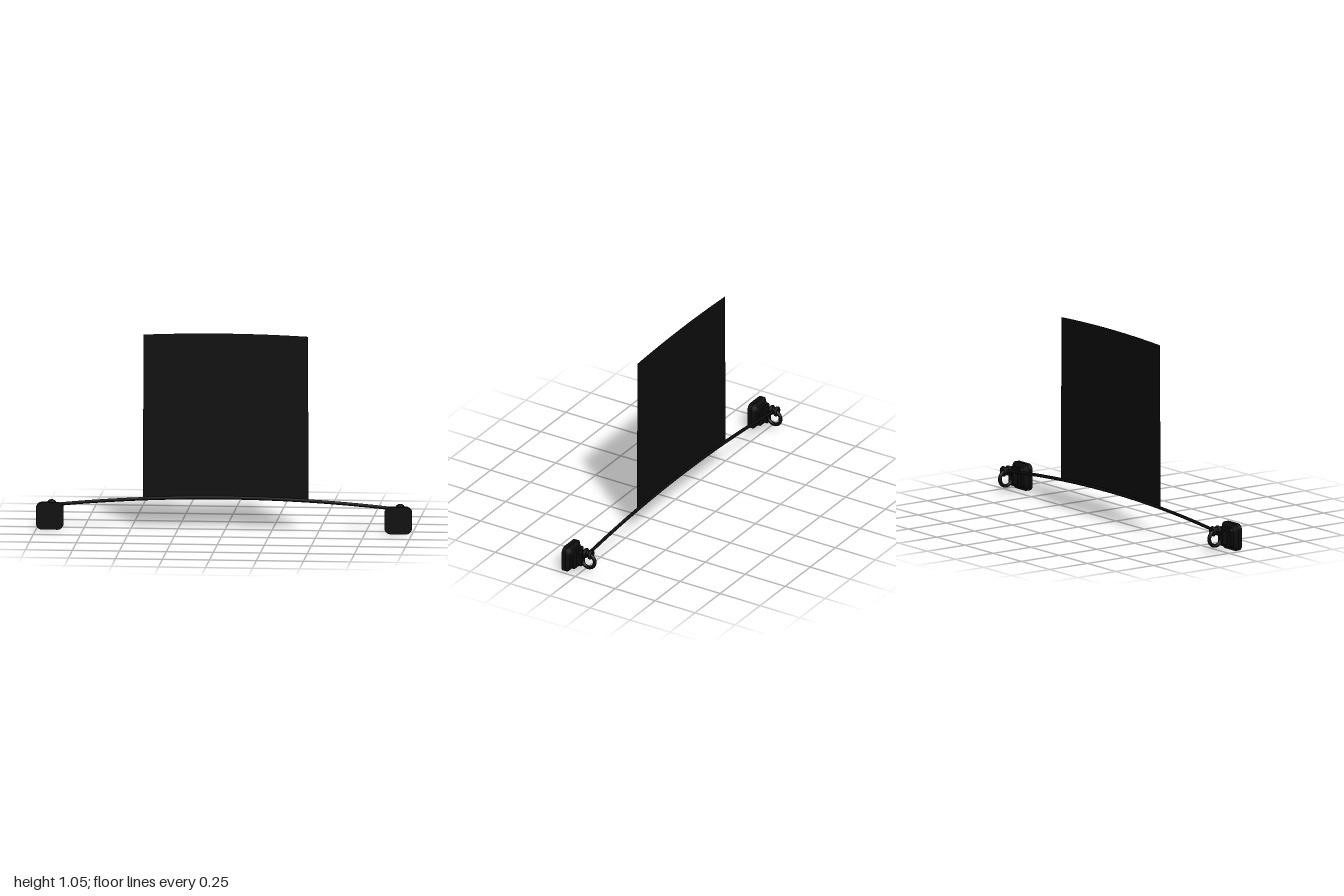
import * as THREE from 'three';

const black = new THREE.MeshStandardMaterial({ color: 0x0c0c0c });
black.name = 'black';
const blackSheet = new THREE.MeshStandardMaterial({ color: 0x0c0c0c, side: THREE.DoubleSide });
blackSheet.name = 'black sheet';

const ROPE_Z = -0.036, ANCHOR_X = 0.927, ANCHOR_Y = 0.075;
const ropeY = (x) => 0.166 - 0.05 * (x / 0.927) ** 2;

function add(parent, name, geometry, x = 0, y = 0, z = 0, material = black) {
  const mesh = new THREE.Mesh(geometry, material);
  mesh.name = name;
  mesh.position.set(x, y, z);
  parent.add(mesh);
  return mesh;
}

// Rounded square block from z = 0 to z = depth, its back scaled by taper
function block(size, radius, depth, taper = 1) {
  const h = size / 2, c = h - radius, s = new THREE.Shape();
  s.absarc(c, c, radius, 0, Math.PI / 2);
  s.absarc(-c, c, radius, Math.PI / 2, Math.PI);
  s.absarc(-c, -c, radius, Math.PI, Math.PI * 1.5);
  s.absarc(c, -c, radius, Math.PI * 1.5, Math.PI * 2);
  const g = new THREE.ExtrudeGeometry(s, { depth, bevelEnabled: false, curveSegments: 6 });
  const p = g.attributes.position;
  for (let i = 0; i < p.count; i++) {
    if (p.getZ(i) < depth / 2) p.setXY(i, p.getX(i) * taper, p.getY(i) * taper);
  }
  g.computeVertexNormals();
  return g;
}

function anchor(side) {
  const g = new THREE.Group();
  g.name = side > 0 ? 'leftAnchor' : 'rightAnchor';
  g.position.set(side * ANCHOR_X, ANCHOR_Y, 0);
  // Mounting foot, stepped towards the back
  add(g, 'footPlate', block(0.146, 0.032, 0.024), 0, 0, 0.062);
  add(g, 'footBevel', block(0.146, 0.032, 0.018, 0.74), 0, 0, 0.044);
  add(g, 'footStep', block(0.106, 0.022, 0.017), 0, 0, 0.027);
  add(g, 'neck', new THREE.BoxGeometry(0.038, 0.073, 0.032), 0, 0, 0.012);
  // Eye ring in the yz plane
  const ring = add(g, 'ring', new THREE.TorusGeometry(0.04, 0.01, 10, 32), 0, 0, ROPE_Z);
  ring.rotation.y = Math.PI / 2;
  // Rope turns tied round the top of the ring
  for (const dz of [-0.016, 0.016]) {
    add(g, 'knotTurn', new THREE.TorusGeometry(0.019, 0.009, 8, 16), 0, 0.041, ROPE_Z + dz);
  }
  add(g, 'knotCore', new THREE.SphereGeometry(0.02, 12, 8), 0, 0.043, ROPE_Z);
  return g;
}

export function createModel() {
  const model = new THREE.Group();
  model.add(anchor(1), anchor(-1));

  // Arched rope between the rings
  const pts = [];
  for (let i = 0; i <= 16; i++) {
    const x = (i / 8 - 1) * ANCHOR_X;
    pts.push(new THREE.Vector3(x, ropeY(x), ROPE_Z));
  }
  add(model, 'rope', new THREE.TubeGeometry(new THREE.CatmullRomCurve3(pts), 48, 0.009, 8));

  // Thin sheet following the rope, a touch wider in its lower half
  const sheet = new THREE.PlaneGeometry(2, 1, 16, 12);
  const p = sheet.attributes.position;
  for (let i = 0; i < p.count; i++) {
    const v = p.getY(i) + 0.5;
    const x = p.getX(i) * (v < 0.52 ? 0.441 : 0.437);
    p.setXY(i, x, ropeY(x) + v * 0.882);
  }
  sheet.computeVertexNormals();
  add(model, 'sheet', sheet, 0, 0, ROPE_Z, blackSheet);
  return model;
}
